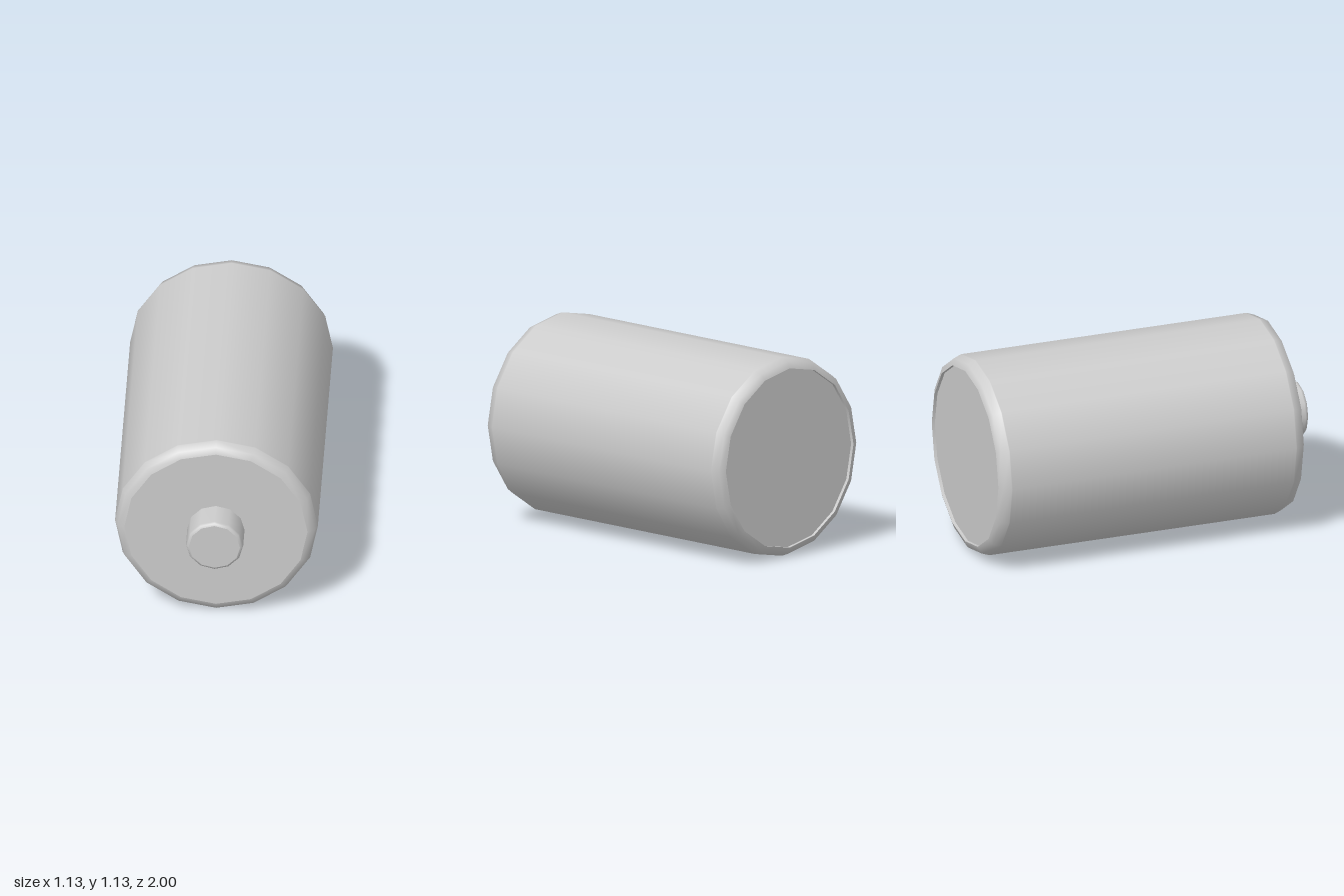
import * as THREE from 'three';

const material = new THREE.MeshStandardMaterial({ color: 0xcccccc });

// Turned part around the z axis; profile is [radius, z] running from back to front
function turned(name, profile, sides) {
  const points = profile.map(([r, z]) => new THREE.Vector2(r, z));
  const geometry = new THREE.LatheGeometry(points, sides).rotateX(Math.PI / 2);
  const mesh = new THREE.Mesh(geometry, material);
  mesh.name = name;
  return mesh;
}

export function createModel() {
  const group = new THREE.Group();
  group.name = 'battery';
  const cell = new THREE.Group();
  cell.name = 'cell';
  cell.position.y = 0.57;
  group.add(cell);

  const SIDES = 16, R = 0.567, RIM = 0.512;

  // Casing with rounded shoulders at both ends
  cell.add(turned('casing', [
    [RIM, -1], [0.55, -0.985], [R, -0.94], [R, -0.935],
    [R, 0.765], [R, 0.77], [0.55, 0.815], [RIM, 0.83],
  ], SIDES));

  // Flat front face
  cell.add(turned('frontFace', [[RIM, 0.83], [0, 0.83]], SIDES));

  // Slightly recessed base plate and the short wall around it
  cell.add(turned('baseRecessWall', [[RIM, -0.982], [RIM, -1]], SIDES));
  cell.add(turned('basePlate', [[0, -0.982], [RIM, -0.982]], SIDES));

  // Terminal button with a small bevel
  cell.add(turned('terminal', [
    [0.16, 0.82], [0.16, 0.98], [0.155, 0.994], [0.143, 1],
  ], 12));
  cell.add(turned('terminalFace', [[0.143, 1], [0, 1]], 12));

  return group;
}
